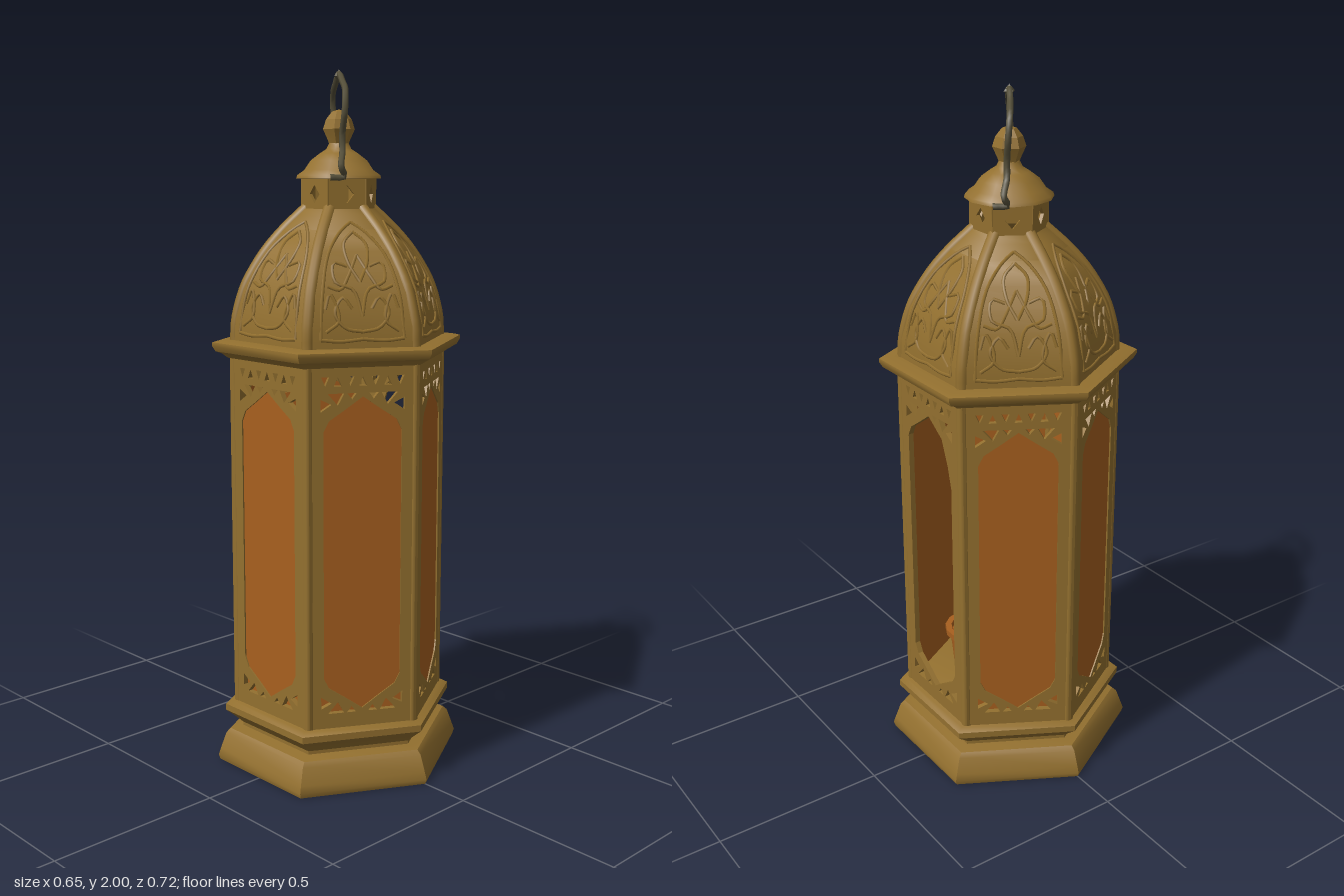
import * as THREE from 'three';
import { toCreasedNormals } from 'three/addons/utils/BufferGeometryUtils.js';

const mat = (name, color, side = THREE.FrontSide) => {
  const m = new THREE.MeshStandardMaterial({ color, side });
  m.name = name;
  return m;
};
const COS30 = Math.cos(Math.PI / 6);
const faceAngle = (k) => Math.PI / 6 + (k * Math.PI) / 3; // k = 1 faces +x
const OPEN_FACE = 1;

const vec2 = (pts) => pts.map(([x, y]) => new THREE.Vector2(x, y));

// Pointed window outline, anticlockwise, symmetric about y = 0.68
const flip = (y) => 1.36 - y;
const arch = [[0.11, 1.03], [0.095, 1.06], [0.05, 1.09], [0, 1.125]];
const rightEdge = [...arch.map(([x, y]) => [x, flip(y)]).reverse(), ...arch];
const windowOutline = [
  ...rightEdge,
  ...rightEdge.slice(1, -1).reverse().map(([x, y]) => [-x, y]),
];

// Pierced triangles around the window
function traceryHoles() {
  const corner = [
    [[0.118, 1.085], [0.118, 1.12], [0.088, 1.105]],
    [[0.07, 1.102], [0.098, 1.135], [0.052, 1.135]],
    [[0.03, 1.118], [0.044, 1.135], [0.018, 1.135]],
  ];
  const holes = [];
  for (const tri of corner)
    for (const sx of [1, -1])
      for (const low of [false, true])
        holes.push(tri.map(([x, y]) => [x * sx, low ? flip(y) : y]));
  for (let i = -3; i <= 3; i++) {
    const x = i * 0.035, up = i % 2 === 0;
    const base = up ? 1.155 : 1.18, tip = up ? 1.18 : 1.155;
    holes.push([[x - 0.011, base], [x + 0.011, base], [x, tip]]);
  }
  return holes;
}

// Flat plate with holes, its outer face at the given distance from the axis
function plate(outline, holes, depth, apothem) {
  const shape = new THREE.Shape(vec2(outline));
  for (const h of holes) shape.holes.push(new THREE.Path(vec2(h)));
  const g = new THREE.ExtrudeGeometry(shape, { depth, bevelEnabled: false });
  return g.translate(0, 0, apothem - depth);
}

const rect = (w, y0, y1) => [[-w, y0], [w, y0], [w, y1], [-w, y1]];

// Dome section: corner radius against height
const domeProfile = [
  [0.315, 1.25], [0.312, 1.31], [0.287, 1.4], [0.258, 1.455],
  [0.22, 1.51], [0.17, 1.565], [0.132, 1.6], [0.11, 1.62],
];
function domeRadius(y) {
  for (let i = 1; i < domeProfile.length; i++) {
    const [r0, y0] = domeProfile[i - 1], [r1, y1] = domeProfile[i];
    if (y <= y1) return r0 + ((r1 - r0) * (y - y0)) / (y1 - y0);
  }
  return domeProfile.at(-1)[0];
}
// Point on a dome face: u runs -1..1 between its corners
const domePoint = (u, y) => {
  const r = domeRadius(y);
  return new THREE.Vector3((u * r) / 2, y, r * COS30);
};
const tube = (pts, radius, seg = 14, sides = 5) =>
  new THREE.TubeGeometry(new THREE.CatmullRomCurve3(pts, false, 'centripetal'), seg, radius, sides);

export function createModel() {
  const root = new THREE.Group();
  root.name = 'lantern';
  const brass = mat('brass', 0x93702f);
  const brassShell = mat('brass shell', 0x93702f, THREE.DoubleSide);
  const glass = mat('amber glass', 0xa8601f, THREE.DoubleSide);
  const iron = mat('dark iron', 0x56503a);

  const add = (name, geo, material, parent = root) => {
    const m = new THREE.Mesh(geo, material);
    m.name = name;
    parent.add(m);
    return m;
  };
  const lathe = (pts, sides, crease = 0.6) =>
    toCreasedNormals(new THREE.LatheGeometry(vec2(pts), sides), crease);
  const ring = (name, geo, material, skip = -1) => {
    const g = new THREE.Group();
    g.name = name + 'Ring';
    for (let k = 0; k < 6; k++)
      if (k !== skip) add(name, geo, material, g).rotation.y = faceAngle(k);
    root.add(g);
  };

  // Stepped foot and floor, a little wider across x
  add('base', lathe([
    [0, 0], [0.357, 0], [0.362, 0.014], [0.355, 0.035], [0.338, 0.082], [0.325, 0.094],
    [0.288, 0.1], [0.288, 0.11], [0.31, 0.13], [0.338, 0.153], [0.338, 0.172],
    [0.32, 0.182], [0, 0.185],
  ], 6).scale(1.03, 1, 1), brass);

  // Pierced walls
  const APO = 0.274;
  ring('wall', plate(rect(0.15, 0.16, 1.225), [windowOutline, ...traceryHoles()], 0.016, APO), brass);

  // Glass panes and the amber lining behind the walls; one face is open,
  // with a bent scrap left in its upper corner
  ring('windowGlass', plate(windowOutline, [], 0.005, APO - 0.004), glass, OPEN_FACE);
  ring('glassLining', plate(rect(0.148, 0.185, 1.055), [], 0.003, APO - 0.017), glass, OPEN_FACE);
  const scrap = [[0.11, 0.9], [0.11, 1.03], [0.095, 1.06], [0.05, 1.09], [0.085, 1.0]];
  add('windowScrap', plate(scrap, [], 0.005, APO - 0.006), brass).rotation.y = faceAngle(OPEN_FACE);

  // Corner posts, kept outside the lining
  for (let k = 0; k < 6; k++) {
    const a = (k * Math.PI) / 3;
    const g = toCreasedNormals(new THREE.CylinderGeometry(0.016, 0.016, 1.05, 12), 0.9);
    add('cornerPost', g, brass).position.set(0.302 * Math.sin(a), 0.7, 0.302 * Math.cos(a));
  }

  // Cornice under the dome
  add('cornice', lathe([
    [0.27, 1.205], [0.318, 1.205], [0.335, 1.218], [0.352, 1.224], [0.362, 1.24],
    [0.361, 1.25], [0.345, 1.254], [0.3, 1.256],
  ], 6).scale(1.025, 1, 1), brassShell);

  // Six-sided dome with softened corners and scrolled relief
  add('dome', lathe(domeProfile, 6, 0.8), brassShell);
  const rib = domeProfile.map(([r, y]) => new THREE.Vector3(0, y, r - 0.017));
  for (let k = 0; k < 6; k++)
    add('domeRib', tube(rib, 0.018, 18, 10), brass).rotation.y = (k * Math.PI) / 3;
  const strokes = [
    [[0.74, 1.28], [0.74, 1.4], [0.7, 1.5], [0.4, 1.56], [0, 1.585]],
    [[0, 1.28], [0.4, 1.275], [0.74, 1.28]],
    [[0, 1.3], [0.3, 1.31], [0.5, 1.35], [0.35, 1.39], [0.18, 1.36]],
    [[0.65, 1.3], [0.42, 1.33], [0.6, 1.4], [0.68, 1.36]],
    [[0, 1.34], [0.15, 1.41], [0.5, 1.43], [0.55, 1.48], [0.25, 1.47]],
    [[0, 1.43], [0.22, 1.48], [0.3, 1.53], [0, 1.56]],
    [[0.65, 1.42], [0.4, 1.41], [0.25, 1.44], [0, 1.5]],
  ];
  for (const s of strokes)
    for (const sx of [1, -1])
      ring('domeScroll', tube(s.map(([u, y]) => domePoint(u * sx, y)), 0.005), brass);

  // Neck with diamond openings
  const diamond = [[0, 1.635], [0.02, 1.66], [0, 1.685], [-0.02, 1.66]];
  ring('neckWall', plate(rect(0.055, 1.605, 1.705), [diamond], 0.01, 0.094), brass);

  // Flared cap and finial
  add('cap', lathe([
    [0.085, 1.7], [0.123, 1.703], [0.12, 1.712], [0.1, 1.726], [0.082, 1.752],
    [0.055, 1.772], [0.036, 1.784], [0.028, 1.8], [0, 1.8],
  ], 12, 0.9), brassShell);
  add('finial', lathe([
    [0.026, 1.79], [0.032, 1.808], [0.046, 1.838], [0.037, 1.865], [0.02, 1.886], [0, 1.892],
  ], 6, 0.3), brass);

  // Bent carrying handle, set diagonally, with hooked ends
  const half = [
    [0.108, 1.706, -0.078], [0.075, 1.708, -0.1], [0.092, 1.735, -0.105], [0.068, 1.775, -0.085],
    [0.064, 1.82, -0.08], [0.074, 1.88, -0.1], [0.062, 1.935, -0.09], [0.025, 1.965, -0.04],
  ];
  const path = [
    ...half.map(([x, y, z]) => new THREE.Vector3(x, y, z)),
    new THREE.Vector3(0, 1.988, 0),
    ...half.map(([x, y, z]) => new THREE.Vector3(-x, y, -z)).reverse(),
  ];
  add('handle', tube(path, 0.009, 64, 6), iron);
  add('handleKnot', new THREE.OctahedronGeometry(0.018), iron).position.y = 1.982;

  // Candle cup and flame inside the open window
  const candle = new THREE.Group();
  candle.name = 'candle';
  candle.position.x = 0.13;
  root.add(candle);
  add('candleCup', lathe([
    [0, 0.185], [0.056, 0.185], [0.066, 0.3], [0.074, 0.375], [0.088, 0.382],
    [0.088, 0.4], [0.07, 0.4], [0.066, 0.388], [0, 0.388],
  ], 14), glass, candle);
  add('flame', lathe([
    [0.02, 0.385], [0.029, 0.42], [0.018, 0.48], [0.008, 0.54], [0, 0.575],
  ], 8), brass, candle);

  return root;
}
